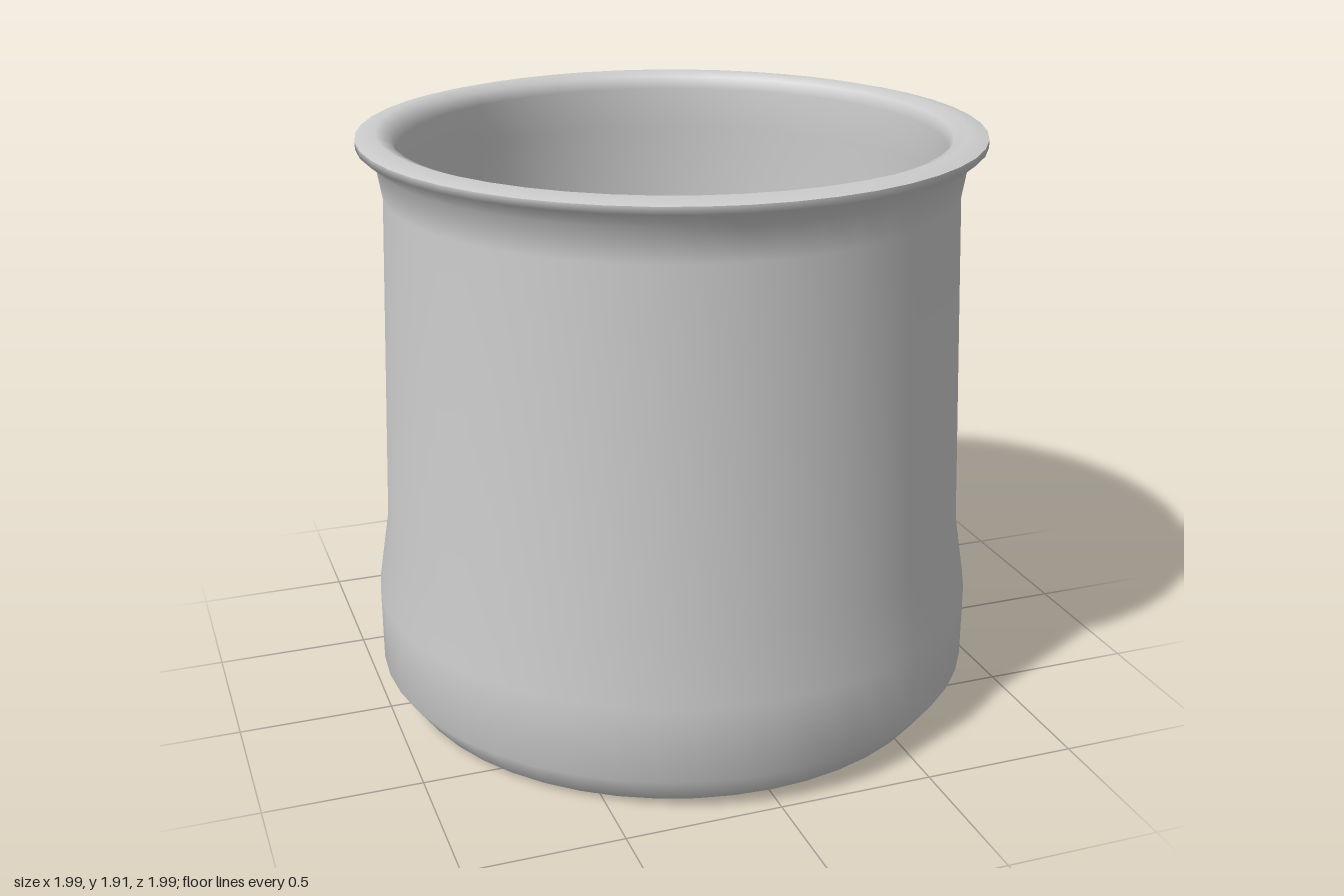
import * as THREE from 'three';

const SEGMENTS = 48;

// Surface of revolution; each profile is smooth, with sharp edges where profiles meet
function turned(name, profile, material) {
  const points = profile.map(([r, y]) => new THREE.Vector2(r, y));
  const mesh = new THREE.Mesh(new THREE.LatheGeometry(points, SEGMENTS), material);
  mesh.name = name;
  return mesh;
}

export function createModel() {
  const group = new THREE.Group();
  group.name = 'jar';
  const grey = new THREE.MeshStandardMaterial({ color: 0xcccccc });
  grey.name = 'light grey';

  group.add(
    // Very slightly domed underside
    turned('base', [[0, 0], [0.5, 0], [0.92, 0.015]], grey),
    // Outer wall: rounded foot, tapering body, flared lip
    turned('outerWall', [
      [0.92, 0.015], [0.997, 0.12], [0.997, 0.37], [0.96, 0.6],
      [0.917, 1.71], [0.935, 1.82], [0.993, 1.87], [0.993, 1.893],
    ], grey),
    // Rolled rim continuing down the inner wall to the floor
    turned('rimAndInnerWall', [
      [0.993, 1.893], [0.93, 1.908], [0.885, 1.89], [0.87, 1.85],
      [0.872, 1.71], [0.9, 0.5], [0.72, 0.12],
    ], grey),
    // Flat floor inside
    turned('floor', [[0.72, 0.12], [0, 0.12]], grey),
  );
  return group;
}
